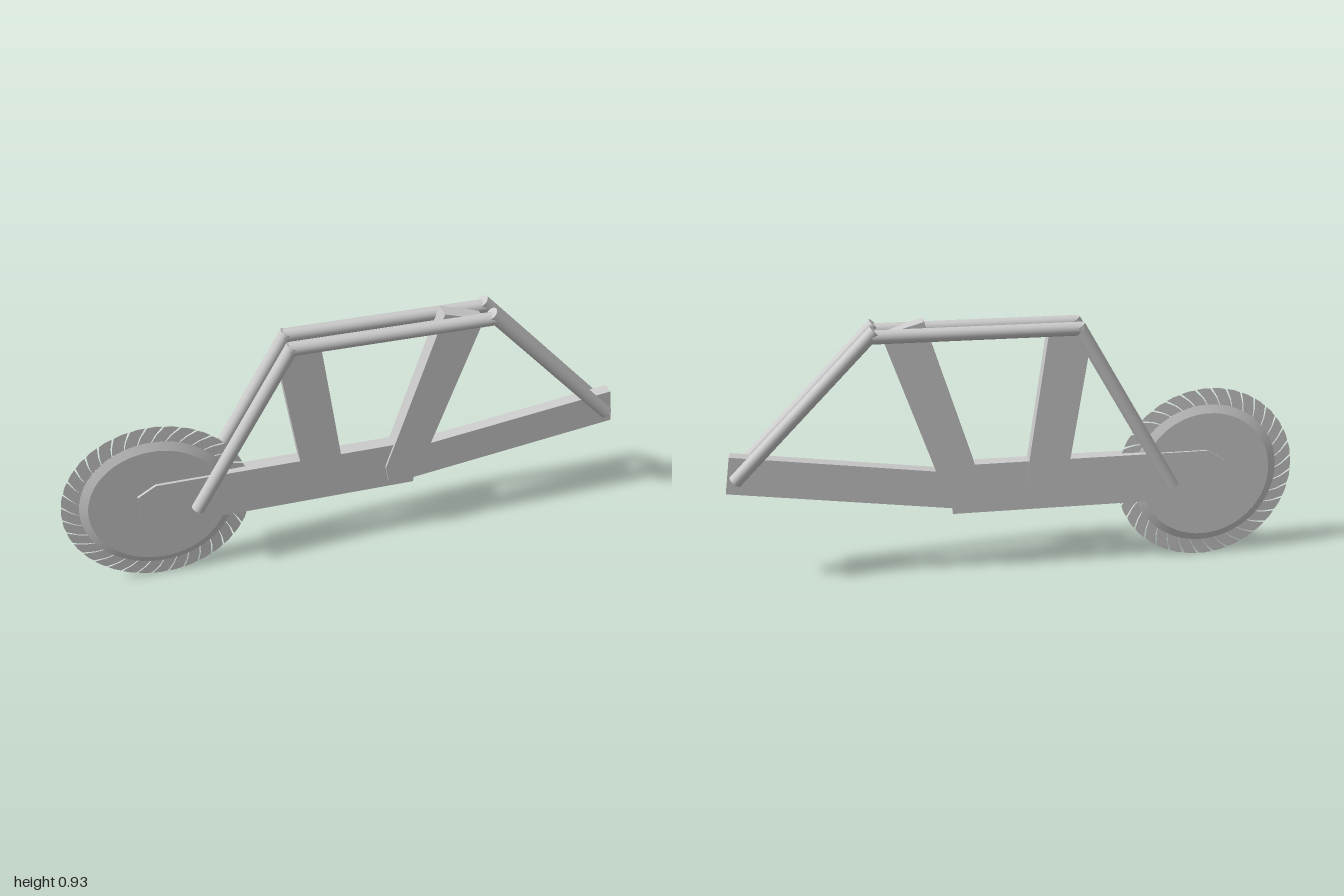
import * as THREE from 'three';
import { mergeGeometries, toCreasedNormals } from 'three/addons/utils/BufferGeometryUtils.js';

const material = new THREE.MeshStandardMaterial({ color: 0xcccccc });

export function createModel() {
  const group = new THREE.Group();

  const add = (name, geometry) => {
    const mesh = new THREE.Mesh(geometry, material);
    mesh.name = name;
    group.add(mesh);
    return mesh;
  };

  // Flat plate: outline in x/y, extruded between two depths
  const plateGeometry = (points, back, front) => {
    const shape = new THREE.Shape(points.map(([x, y]) => new THREE.Vector2(x, y)));
    return new THREE.ExtrudeGeometry(shape, { depth: front - back, bevelEnabled: false })
      .translate(0, 0, back);
  };

  // Round bar between two points, at depth z
  const tube = (name, [x1, y1], [x2, y2], z, radius = 0.023) => {
    const a = new THREE.Vector3(x1, y1, z);
    const b = new THREE.Vector3(x2, y2, z);
    const mesh = add(name, new THREE.CylinderGeometry(radius, radius, a.distanceTo(b), 24));
    mesh.position.copy(a).add(b).multiplyScalar(0.5);
    mesh.quaternion.setFromUnitVectors(new THREE.Vector3(0, 1, 0), b.sub(a).normalize());
  };

  // Main beam with a chamfered end over the wheel hub
  add('mainBeam', plateGeometry([
    [-0.745, 0.29], [-0.68, 0.237], [0.235, 0.237], [0.235, 0.42], [-0.68, 0.42], [-0.745, 0.38],
  ], -0.023, 0.025));

  // Rising tail arm
  add('tailArm', plateGeometry([
    [0.16, 0.246], [1.0, 0.363], [0.978, 0.495], [0.16, 0.382],
  ], -0.017, 0.025));

  // Two leaning posts with chamfered feet
  add('frontPost', plateGeometry([
    [-0.165, 0.31], [-0.135, 0.258], [-0.05, 0.267], [-0.022, 0.32],
    [-0.1, 0.872], [-0.19, 0.872], [-0.238, 0.8],
  ], -0.024, 0.027));
  add('rearPost', plateGeometry([
    [0.127, 0.33], [0.138, 0.267], [0.217, 0.245], [0.25, 0.287], [0.455, 0.895], [0.315, 0.935],
  ], -0.0235, 0.035));

  // Mirrored pair of tubular frames
  for (const side of [1, -1]) {
    const z = side * 0.0425;
    const label = side > 0 ? 'front' : 'back';
    tube(label + 'RisingTube', [-0.55, 0.303], [-0.197, 0.906], z);
    tube(label + 'TopTube', [-0.21, 0.896], [0.485, 0.896], z);
    tube(label + 'FallingTube', [0.475, 0.917], [0.963, 0.417], z);
  }

  // Cutting wheel: bevelled disc
  const wheel = new THREE.Group();
  wheel.name = 'cuttingWheel';
  wheel.position.set(-0.68, 0.324, 0);
  group.add(wheel);

  const profile = [
    [0, -0.015], [0.235, -0.015], [0.264, -0.003], [0.264, 0.003], [0.235, 0.015], [0, 0.015],
  ].map(([r, y]) => new THREE.Vector2(r, y));
  const disc = new THREE.Mesh(
    toCreasedNormals(new THREE.LatheGeometry(profile, 64).rotateX(Math.PI / 2), 0.3), material);
  disc.name = 'wheelDisc';
  wheel.add(disc);

  // Ring of thin swept teeth
  const count = 36;
  const pitch = (Math.PI * 2) / count;
  const polar = (r, turns) => [r * Math.cos(turns * pitch), r * Math.sin(turns * pitch)];
  const teeth = [];
  for (let i = 0; i < count; i++) {
    const tooth = plateGeometry([
      polar(0.255, 0.02), polar(0.29, -0.4), polar(0.323, -0.85),
      polar(0.324, -0.4), polar(0.322, 0.02), polar(0.29, 0.5), polar(0.255, 0.96),
    ], -0.003, 0.003);
    // Thin each tooth towards its cutting edge
    const p = tooth.attributes.position;
    for (let v = 0; v < p.count; v++) {
      const r = Math.hypot(p.getX(v), p.getY(v));
      p.setZ(v, p.getZ(v) * THREE.MathUtils.mapLinear(r, 0.255, 0.325, 1, 0.25));
    }
    tooth.computeVertexNormals();
    teeth.push(tooth.rotateZ(i * pitch));
  }
  const ring = new THREE.Mesh(mergeGeometries(teeth), material);
  ring.name = 'wheelTeeth';
  wheel.add(ring);

  return group;
}
